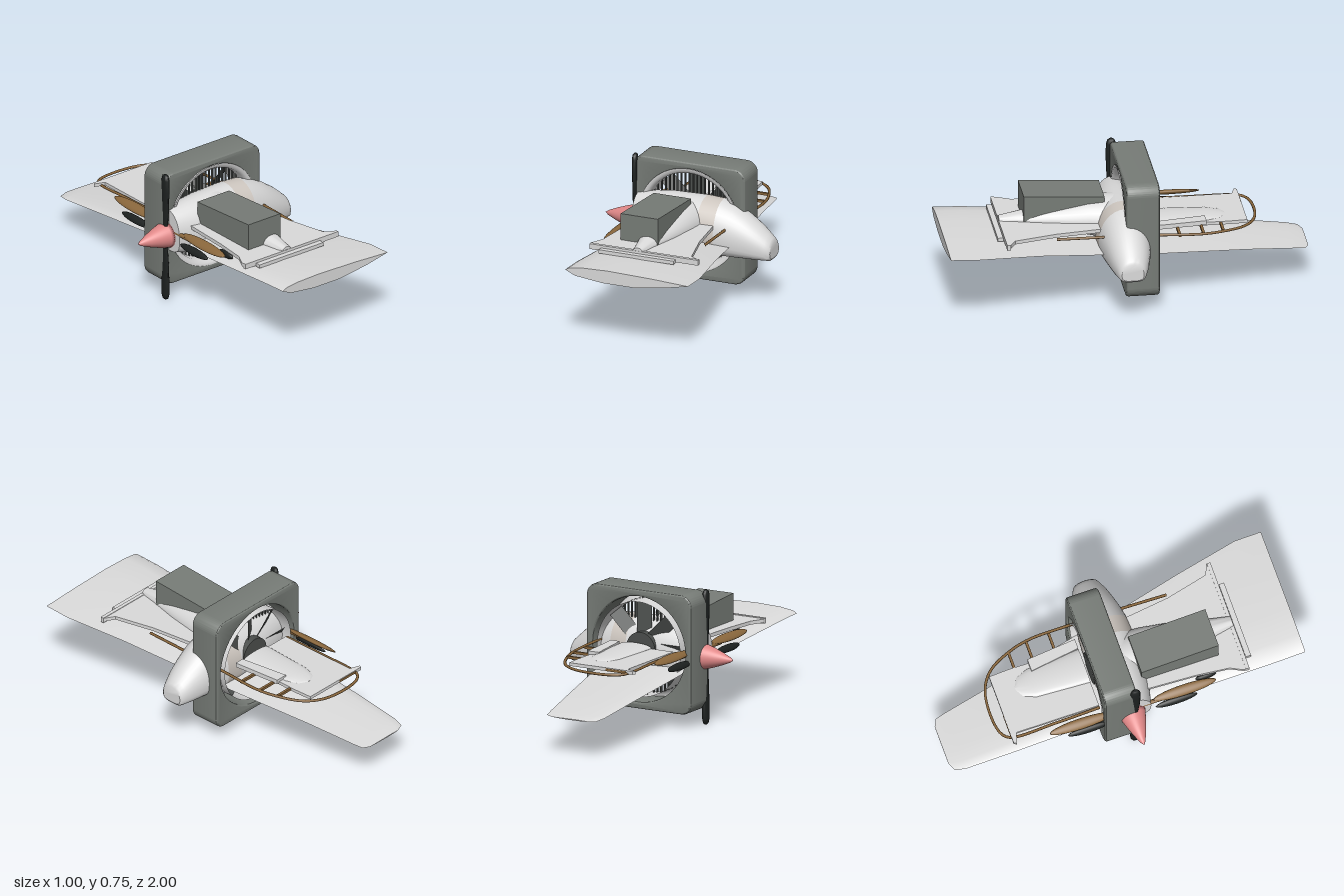
import * as THREE from 'three';
import { toCreasedNormals } from 'three/addons/utils/BufferGeometryUtils.js';

const mat = (name, color, double) => {
  const m = new THREE.MeshStandardMaterial({ color });
  m.name = name;
  if (double) m.side = THREE.DoubleSide;
  return m;
};

// Closed skin through a list of rings with capped ends, always facing outward
function loft(rings, crease = 0.6) {
  const n = rings[0].length, pos = [], idx = [];
  rings.forEach(r => r.forEach(p => pos.push(...p)));
  for (let i = 0; i < rings.length - 1; i++)
    for (let j = 0; j < n; j++) {
      const a = i * n + j, b = i * n + (j + 1) % n;
      idx.push(a, b, a + n, b, b + n, a + n);
    }
  const last = (rings.length - 1) * n;
  for (let j = 1; j < n - 1; j++) idx.push(0, j + 1, j, last, last + j, last + j + 1);
  let volume = 0;
  const v = i => new THREE.Vector3().fromArray(pos, i * 3);
  for (let i = 0; i < idx.length; i += 3)
    volume += v(idx[i]).dot(v(idx[i + 1]).cross(v(idx[i + 2])));
  if (volume < 0) idx.reverse();
  const g = new THREE.BufferGeometry();
  g.setAttribute('position', new THREE.Float32BufferAttribute(pos, 3));
  g.setIndex(idx);
  return toCreasedNormals(g, crease);
}

// Rounded cross-section: half width w, from y0 to y1, flatter below
function section(w, y0, y1, place, n = 32) {
  const mid = y0 + (y1 - y0) * 0.4;
  return Array.from({ length: n }, (_, i) => {
    const a = i / n * Math.PI * 2, s = Math.sin(a), c = Math.cos(a);
    const k = s < 0 ? 0.6 : 1;
    const u = Math.sign(c) * Math.pow(Math.abs(c), k) * w;
    const h = Math.sign(s) * Math.pow(Math.abs(s), k);
    return place(u, mid + h * (s < 0 ? mid - y0 : y1 - mid));
  });
}

// Plan outline in x and z, given a thickness upward from y
function plate(points, y, thick) {
  const s = new THREE.Shape(points.map(([x, z]) => new THREE.Vector2(x, -z)));
  const g = new THREE.ExtrudeGeometry(s, { depth: thick, bevelEnabled: false });
  return g.rotateX(-Math.PI / 2).translate(0, y, 0);
}

const tube = (pts, r, seg = 60) => new THREE.TubeGeometry(
  new THREE.CatmullRomCurve3(pts.map(p => new THREE.Vector3(...p)), false, 'centripetal'), seg, r, 6);

export function createModel() {
  const root = new THREE.Group();
  const white = mat('paleGrey', 0xdadada, true), beige = mat('warmGrey', 0xcdc6bf);
  const grey = mat('housingGrey', 0x777c77), dark = mat('fanGrey', 0x4b4e4c, true);
  const black = mat('black', 0x1d2120), pink = mat('pink', 0xe08888), wood = mat('wood', 0x8a673c);
  const add = (name, geo, m, x = 0, y = 0, z = 0) => {
    const mesh = new THREE.Mesh(geo, m);
    mesh.name = name;
    mesh.position.set(x, y, z);
    root.add(mesh);
    return mesh;
  };
  const CY = 0.41;

  // Square fan housing with a round opening
  const R = 0.316, c = 0.05, sq = new THREE.Shape();
  [[1, 1, 0], [-1, 1, 1], [-1, -1, 2], [1, -1, 3]].forEach(([sx, sy, q]) =>
    sq.absarc(sx * (R - c), sy * (R - c), c, q * Math.PI / 2, (q + 1) * Math.PI / 2));
  sq.holes.push(new THREE.Path().absarc(0, 0, 0.305, 0, Math.PI * 2, true));
  add('fanHousing', toCreasedNormals(new THREE.ExtrudeGeometry(sq, {
    depth: 0.155, bevelThickness: 0.014, bevelSize: 0.014, bevelSegments: 3, curveSegments: 40,
  }), 0.5), grey, 0, CY, -0.139);

  // Flared intake ring lining the opening
  const lip = [[0.262, -0.15], [0.26, -0.02], [0.266, 0.015], [0.28, 0.03], [0.296, 0.031]];
  add('intakeRing', new THREE.LatheGeometry(lip.map(p => new THREE.Vector2(...p)), 64)
    .rotateX(Math.PI / 2), white, 0, CY, 0);

  // Fan hub, blades and upright grille bars
  add('fanHub', new THREE.CylinderGeometry(0.09, 0.09, 0.06, 32).rotateX(Math.PI / 2), dark, 0, CY, -0.1);
  for (let i = 0; i < 8; i++) {
    const g = new THREE.PlaneGeometry(0.08, 0.18, 1, 4);
    g.rotateY(0.5).translate(0, 0.165, 0).rotateZ(i * Math.PI / 4);
    add('fanBlade', g, dark, 0, CY, -0.09);
  }
  for (let i = -10; i <= 10; i++) {
    const x = i * 0.023, h = 2 * Math.sqrt(0.262 ** 2 - x * x);
    add('grilleBar', new THREE.BoxGeometry(0.006, h, 0.012), dark, x, CY, -0.03);
  }

  // Engine cowl lying along x, with a warm band
  const cowl = [
    [-0.3, 0.1, 0.29, 0.53], [-0.2, 0.125, 0.265, 0.548], [-0.1, 0.14, 0.26, 0.56], [0.1, 0.148, 0.26, 0.565],
    [0.2, 0.143, 0.26, 0.56], [0.28, 0.13, 0.26, 0.535], [0.35, 0.115, 0.26, 0.495],
    [0.42, 0.098, 0.26, 0.445], [0.47, 0.08, 0.26, 0.4], [0.492, 0.07, 0.26, 0.38], [0.5, 0.06, 0.27, 0.365],
  ].map(([x, w, a, b]) => section(w, a, b, (u, y) => [x, y, 0.02 + u]));
  add('cowlRear', loft(cowl.slice(0, 4)), white);
  add('cowlBand', loft(cowl.slice(3, 5)), beige);
  add('cowlNose', loft(cowl.slice(4)), white);

  // Pointed spinner
  const spin = [[0, 0.2], [0.014, 0.18], [0.035, 0.13], [0.056, 0.07], [0.07, 0.02], [0.075, 0], [0, 0]];
  add('spinner', new THREE.LatheGeometry(spin.reverse().map(p => new THREE.Vector2(...p)), 40)
    .rotateZ(Math.PI / 2), pink, -0.3, 0.377, 0.01);

  // Two-blade upright propeller
  for (const s of [1, -1]) {
    const rings = [[0.0, 0.012, 0.012], [0.07, 0.012, 0.016], [0.15, 0.012, 0.025], [0.27, 0.014, 0.03],
      [0.34, 0.016, 0.028], [0.365, 0.013, 0.02], [0.373, 0.006, 0.008]]
      .map(([r, t, w]) => Array.from({ length: 14 }, (_, i) => {
        const a = i / 7 * Math.PI;
        return [t * Math.cos(a), s * r, w * Math.sin(a)];
      }));
    add('propellerBlade', loft(rings, 1), black, -0.319, 0.373, 0.022);
  }
  add('propellerHub', new THREE.SphereGeometry(0.022, 16, 10), black, -0.318, 0.373, 0.02);

  // Long tapering wing running front to back and sloping down behind
  const foil = [[0, 0], [0.03, 0.5], [0.14, 0.9], [0.35, 1], [0.7, 0.6], [1, 0.05],
    [0.8, -0.55], [0.55, -1], [0.3, -0.95], [0.08, -0.55]];
  const wing = [[1, -0.295, 0.43, 0.412, 0.025, 0.05], [0.85, -0.297, 0.43, 0.405, 0.025, 0.055],
    [0.5, -0.29, 0.362, 0.375, 0.025, 0.048], [0.1, -0.27, 0.28, 0.33, 0.022, 0.035],
    [-0.2, -0.265, 0.225, 0.295, 0.018, 0.018], [-0.65, -0.262, 0.135, 0.248, 0.012, 0.01],
    [-0.92, -0.255, 0.085, 0.215, 0.008, 0.006], [-0.98, -0.24, 0.07, 0.207, 0.006, 0.005],
    [-1, -0.19, 0.03, 0.205, 0.003, 0.003]]
    .map(([z, x0, x1, y, up, down]) => foil.map(([f, h]) =>
      [x0 + (x1 - x0) * f, y + h * (h > 0 ? up : down) + 0.01 * f * (z > 0.3 ? 1 : 0), z]));
  add('wing', loft(wing, 0.7), white);

  // Tapered tail fairing, upper tailplane and its trailing strip
  const tail = [[0.68, 0.03, 0.43, 0.47], [0.58, 0.05, 0.42, 0.488], [0.4, 0.095, 0.4, 0.515],
    [0.2, 0.13, 0.36, 0.548], [0.02, 0.145, 0.32, 0.56]]
    .map(([z, w, a, b]) => section(w, a, b, (u, y) => [u - 0.01, y, z]));
  add('tailFairing', loft(tail), white);
  add('tailplane', plate([[-0.22, 0], [-0.24, 0.4], [-0.26, 0.58], [-0.295, 0.65], [-0.295, 0.68],
    [0.345, 0.68], [0.345, 0.665], [0.285, 0.63], [0.23, 0.4], [0.18, 0]], 0.43, 0.02), white);
  add('tailStrip', new THREE.BoxGeometry(0.64, 0.03, 0.02), white, 0.025, 0.438, 0.672);
  add('trimTab', new THREE.BoxGeometry(0.44, 0.02, 0.03), white, -0.005, 0.43, 0.7);

  // Wedge-topped grey box
  const box = new THREE.BoxGeometry(0.22, 0.16, 0.44), bp = box.attributes.position;
  for (let i = 0; i < bp.count; i++)
    if (bp.getZ(i) < 0 && bp.getY(i) > 0) bp.setY(i, 0.05);
  box.computeVertexNormals();
  add('greyBox', box, grey, -0.06, 0.52, 0.33);

  // Faceted scoop under the wing
  const scoop = new THREE.CylinderGeometry(1, 0.95, 0.22, 8, 1, true).rotateY(Math.PI / 8)
    .rotateX(Math.PI / 2).scale(0.135, 0.045, 1);
  add('scoop', toCreasedNormals(scoop, 0.3), white, -0.05, 0.312, 0.34);
  add('scoopLip', new THREE.TorusGeometry(1, 0.035, 6, 8).rotateZ(Math.PI / 8)
    .scale(0.13, 0.043, 0.12), black, -0.05, 0.312, 0.45);

  // Thin rear panels and raised spine
  add('rearPanel', plate([[-0.22, -0.15], [-0.22, -0.62], [-0.28, -0.64], [-0.27, -0.655],
    [0.13, -0.655], [0.135, -0.55], [0.13, -0.15]], 0.405, 0.018), white);
  const spine = [[-0.15, 0.1, 0.445], [-0.45, 0.085, 0.437], [-0.52, 0.06, 0.43], [-0.545, 0.02, 0.424]]
    .map(([z, w, top]) => section(w, 0.41, top, (u, y) => [u + 0.02, y, z]));
  add('rearSpine', loft(spine), white);
  add('rearStrip', plate([[0.08, -0.43], [0.15, -0.43], [0.175, -0.15], [0.12, -0.15]], 0.415, 0.025), white);

  // Bent wooden hoop with ribs
  add('hoop', tube([[-0.23, 0.415, -0.15], [-0.235, 0.412, -0.4], [-0.23, 0.405, -0.66], [-0.19, 0.402, -0.7],
    [-0.06, 0.4, -0.718], [0.08, 0.401, -0.695], [0.17, 0.404, -0.63], [0.235, 0.41, -0.5],
    [0.263, 0.415, -0.38], [0.265, 0.425, -0.15], [0.262, 0.43, 0.1], [0.255, 0.43, 0.4]], 0.008, 90), wood);
  for (const [z, x0, x1] of [[-0.65, -0.23, -0.1], [-0.51, 0.08, 0.23], [-0.4, 0.1, 0.258], [-0.27, 0.13, 0.265]])
    add('hoopRib', new THREE.BoxGeometry(x1 - x0, 0.014, 0.014), wood, (x0 + x1) / 2, 0.412, z);

  // Wooden paddles with black ones below, fore and aft
  for (const s of [1, -1]) {
    const p = add('woodPaddle', new THREE.SphereGeometry(1, 20, 12).scale(0.03, 0.013, 0.18),
      wood, -0.287, 0.422, 0.02 + s * 0.295);
    p.rotation.z = 0.5;
    const b = add('blackPaddle', new THREE.SphereGeometry(1, 16, 10).scale(0.022, 0.012, 0.12),
      black, -0.312, 0.372, 0.01 + s * 0.25);
    b.rotation.z = 0.9;
  }
  add('smallPaddle', new THREE.SphereGeometry(1, 14, 8).scale(0.016, 0.02, 0.06), black, -0.245, 0.41, 0.45);
  add('paddleShaft', new THREE.CylinderGeometry(0.012, 0.012, 0.4, 10).rotateX(Math.PI / 2), wood, -0.29, 0.41, 0.02);
  return root;
}
